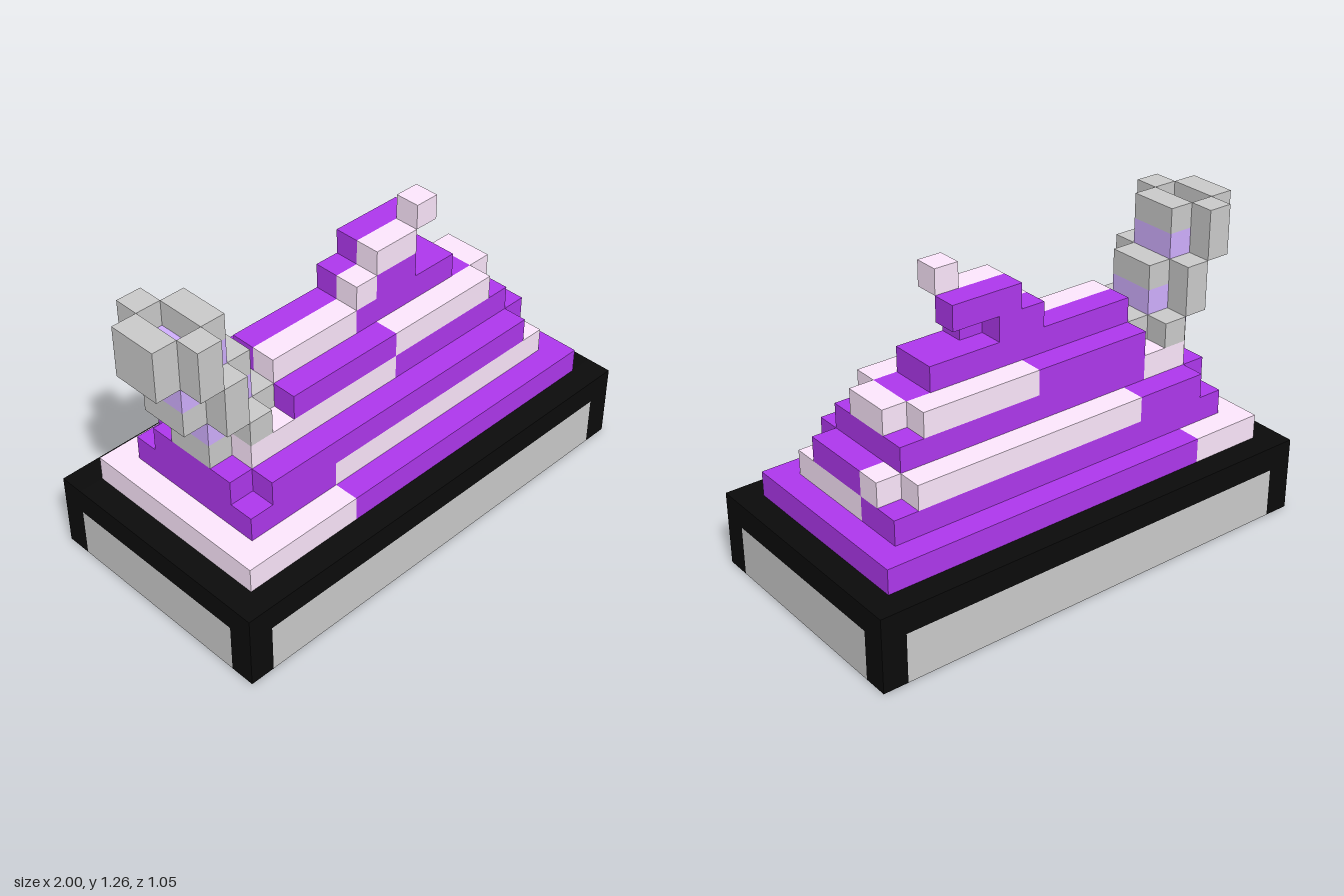
import * as THREE from 'three';

const U = 2 / 19; // one block of the 19 x 12 x 10 grid

const paint = (color) => new THREE.MeshStandardMaterial({ color, flatShading: true });

export function createModel() {
  const model = new THREE.Group();
  const grey = paint(0xcccccc);
  const black = paint(0x0b0b0b);
  const purple = paint(0xaf38ee);
  const pink = paint(0xfee8fe);
  const lilac = paint(0xd1b0ff);

  const part = (name) => {
    const g = new THREE.Group();
    g.name = name;
    model.add(g);
    return g;
  };
  // block from grid corner to grid corner
  const box = (parent, name, mat, x0, x1, y0, y1, z0, z1) => {
    const geo = new THREE.BoxGeometry((x1 - x0) * U, (y1 - y0) * U, (z1 - z0) * U);
    const m = new THREE.Mesh(geo, mat);
    m.name = name;
    m.position.set(((x0 + x1) / 2 - 9.5) * U, ((y0 + y1) / 2) * U, ((z0 + z1) / 2 - 5) * U);
    parent.add(m);
  };

  // Tray: black rim and posts, grey panels, shallow recess below
  const tray = part('tray');
  for (const z of [0, 9]) {
    box(tray, 'longRim', black, 0, 19, 2, 3, z, z + 1);
    box(tray, 'longPanel', grey, 1, 18, 0, 2, z, z + 1);
    for (const x of [0, 18]) box(tray, 'cornerPost', black, x, x + 1, 0, 2, z, z + 1);
  }
  for (const x of [0, 18]) {
    box(tray, 'endRim', black, x, x + 1, 2, 3, 1, 9);
    box(tray, 'endPanel', grey, x, x + 1, 0, 2, 1, 9);
  }
  for (const x of [1, 17]) for (const z of [1, 8])
    box(tray, 'innerFoot', black, x, x + 1, 0, 1, z, z + 1);
  box(tray, 'trayFloor', grey, 1, 18, 1, 3, 1, 9);

  // Heap: stepped layers, each row is [material, x0, x1, z0, z1]
  const heap = part('heap');
  const layers = [
    [[pink, 1, 4, 1, 5], [purple, 4, 18, 1, 5], [pink, 1, 6, 5, 9], [purple, 6, 18, 5, 9]],
    [[purple, 2, 6, 2, 8], [purple, 6, 17, 2, 4], [pink, 6, 17, 4, 8]],
    [[purple, 3, 6, 2, 3], [pink, 6, 16, 2, 3], [purple, 2, 16, 3, 7], [pink, 16, 17, 3, 4],
      [purple, 16, 17, 4, 7], [purple, 3, 16, 7, 8]],
    [[pink, 3, 5, 3, 5], [purple, 5, 16, 3, 5], [pink, 3, 10, 5, 7], [purple, 10, 16, 5, 7]],
    [[purple, 5, 10, 3, 7], [pink, 10, 14, 3, 7], [pink, 14, 15, 3, 4], [purple, 14, 15, 4, 6],
      [pink, 14, 15, 6, 7], [pink, 15, 16, 4, 6]],
    [[purple, 5, 14, 4, 5], [pink, 5, 9, 5, 6], [purple, 9, 14, 5, 6]],
    // curled tip
    [[purple, 9, 11, 4, 5], [pink, 9, 10, 5, 6], [purple, 10, 12, 5, 6]],
    [[purple, 10, 13, 4, 5], [pink, 10, 12, 5, 6]],
    [[pink, 12, 13, 5, 6]],
  ];
  layers.forEach((rows, i) => {
    for (const [mat, x0, x1, z0, z1] of rows) box(heap, 'heapLayer', mat, x0, x1, 3 + i, 4 + i, z0, z1);
  });

  // Leaning plume: lilac core wrapped in grey arms, open at the top
  const plume = part('plume');
  const core = [[2, 4, 7], [2, 4, 8], [1, 3, 9], [1, 3, 10]];
  for (const [x0, x1, y] of core) box(plume, 'plumeCore', lilac, x0, x1, y, y + 1, 4, 6);
  // side arms: [x, y0, y1], mirrored front and back
  for (const [x, y0, y1] of [[3, 7, 8], [2, 8, 10], [1, 10, 12]])
    for (const z of [3, 6]) box(plume, 'sideArm', grey, x, x + 1, y0, y1, z, z + 1);
  // end arms: [x, y0, y1]
  for (const [x, y0, y1] of [[2, 6, 7], [4, 7, 8], [1, 8, 9], [3, 9, 10], [0, 10, 12], [2, 11, 12]])
    box(plume, 'endArm', grey, x, x + 1, y0, y1, 4, 6);

  return model;
}
